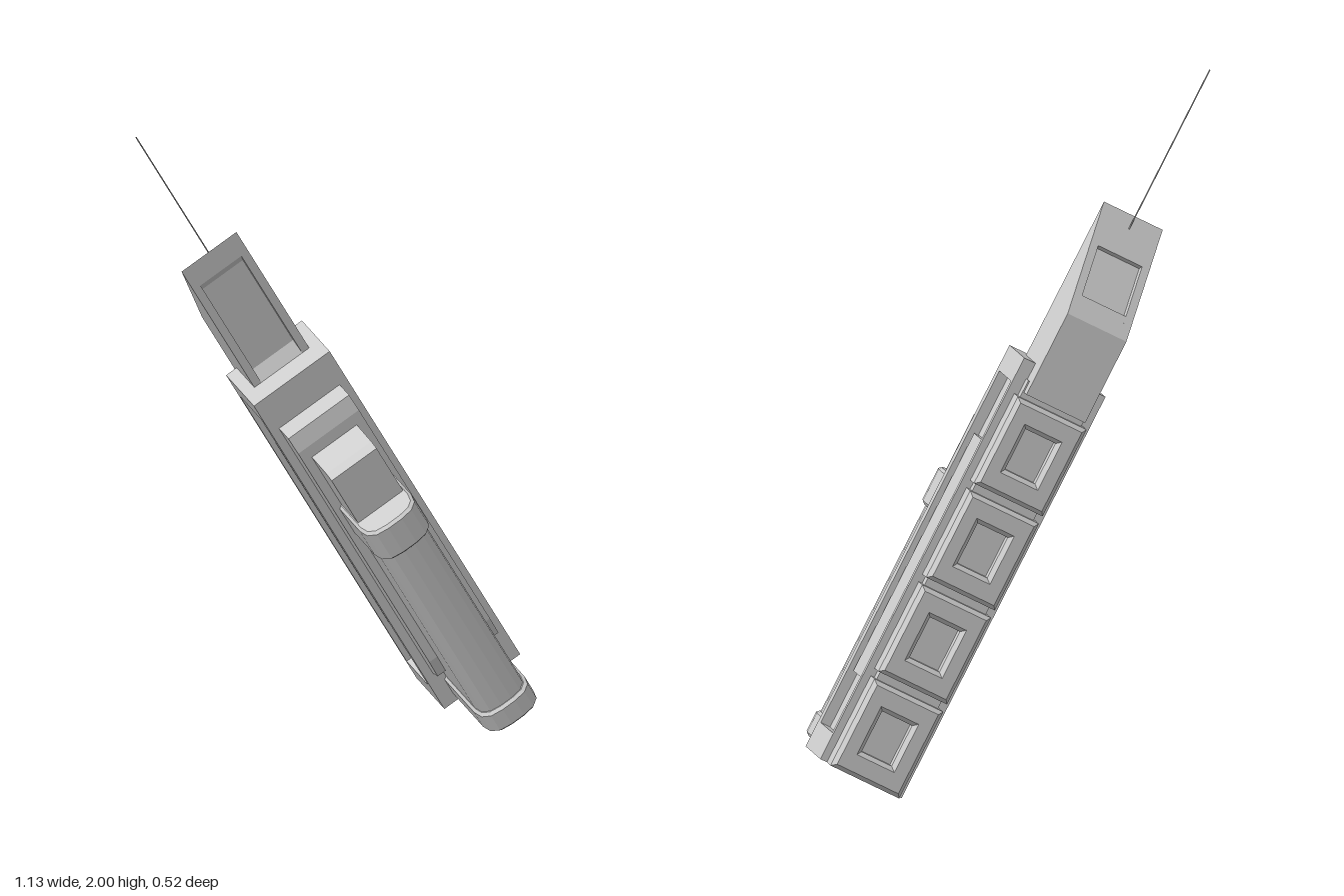
import * as THREE from 'three';

const mat = new THREE.MeshStandardMaterial({ color: 0xcccccc, flatShading: true });

function poly(points, hole) {
  const shape = new THREE.Shape(points.map(p => new THREE.Vector2(...p)));
  if (hole) shape.holes.push(new THREE.Path(hole.map(p => new THREE.Vector2(...p))));
  return shape;
}
const rect = (x0, y0, x1, y1) => [[x0, y0], [x1, y0], [x1, y1], [x0, y1]];

export function createModel() {
  // Body axis runs along local y; the whole handset leans to its right
  const device = new THREE.Group();
  device.name = 'handset';
  const add = (name, geo) => {
    const mesh = new THREE.Mesh(geo, mat);
    mesh.name = name;
    device.add(mesh);
    return mesh;
  };
  const box = (name, x0, x1, y0, y1, z0, z1) => add(name,
    new THREE.BoxGeometry(x1 - x0, y1 - y0, z1 - z0)
      .translate((x0 + x1) / 2, (y0 + y1) / 2, (z0 + z1) / 2));
  // Side profile drawn as (z, y), extruded across x from x0 to x1
  const profile = (name, shape, x0, x1) => add(name,
    new THREE.ExtrudeGeometry(shape, { depth: x1 - x0, bevelEnabled: false })
      .rotateY(-Math.PI / 2).translate(x1, 0, 0));
  // Rounded-front cross-section, extruded from y0 to y1
  const rounded = (name, w, z0, z1, r, y0, y1, bevel = 0) => {
    const s = new THREE.Shape();
    s.moveTo(-w, z0);
    s.lineTo(w, z0);
    s.lineTo(w, z1 - r);
    s.quadraticCurveTo(w, z1, w - r, z1);
    s.lineTo(-w + r, z1);
    s.quadraticCurveTo(-w, z1, -w, z1 - r);
    s.closePath();
    add(name, new THREE.ExtrudeGeometry(s, {
      depth: y1 - y0 - 2 * bevel, curveSegments: 3, bevelEnabled: bevel > 0,
      bevelSize: bevel, bevelOffset: -bevel, bevelThickness: bevel, bevelSegments: 1,
    }).rotateX(Math.PI / 2).translate(0, y1 - bevel, 0));
  };

  // Main case with recessed side walls and raised side panels
  box('caseCore', -0.1, 0.1, 0, 1.25, -0.2, -0.013);
  for (const s of [-1, 1]) {
    const frame = poly(rect(-0.2, 0, -0.013, 1.25), rect(-0.185, 0.08, -0.04, 1.175));
    profile('sideFrame', frame, s > 0 ? 0.1 : -0.13, s > 0 ? 0.13 : -0.1);
    box('sidePanel', s > 0 ? 0.095 : -0.118, s > 0 ? 0.118 : -0.095, 0.25, 0.99, -0.16, -0.055);
  }

  // Stepped front housing
  const lower = [[-0.02, 0.12], [0.05, 0.155], [0.06, 0.22], [0.06, 1.08], [0.05, 1.135], [-0.02, 1.135]];
  profile('frontHousing', poly(lower), -0.104, 0.104);
  const upper = [[0.03, 0.6], [0.17, 0.6], [0.17, 1.02], [0.15, 1.035], [0.03, 1.045]];
  profile('frontStep', poly(upper), -0.077, 0.077);

  // Rounded battery with thicker end caps
  rounded('battery', 0.077, -0.02, 0.24, 0.06, 0.03, 0.8);
  rounded('batteryTopCap', 0.088, -0.02, 0.26, 0.065, 0.733, 0.846, 0.008);
  rounded('batteryBottomCap', 0.086, -0.02, 0.25, 0.065, 0.015, 0.09, 0.008);

  // Four bevelled, hollowed blocks down the back
  box('backPlate', -0.098, 0.098, 0.01, 1.2, -0.228, -0.19);
  for (let i = 0; i < 4; i++) {
    const y = 0.135 + i * 0.293;
    const ring = poly(rect(-0.098, -0.123, 0.098, 0.123), rect(-0.06, -0.075, 0.06, 0.075));
    add('backBlock', new THREE.ExtrudeGeometry(ring, {
      depth: 0.046, bevelSize: 0.012, bevelThickness: 0.012, bevelSegments: 1,
    }).translate(0, y, -0.249));
  }

  // Upper arm: slanted top, with a screen recess in front and one in the slope
  const cheek = [[-0.26, 1.165], [-0.08, 1.165], [-0.08, 1.728], [-0.26, 1.418]];
  const middle = [
    [-0.26, 1.165], [-0.08, 1.165], [-0.08, 1.25], [-0.1, 1.29], [-0.1, 1.62], [-0.08, 1.65],
    [-0.08, 1.728], [-0.145, 1.616], [-0.128, 1.606], [-0.208, 1.468], [-0.225, 1.478], [-0.26, 1.418],
  ];
  profile('armCheek', poly(cheek), -0.094, -0.07);
  profile('armCheek', poly(cheek), 0.07, 0.094);
  profile('armCore', poly(middle), -0.07, 0.07);

  // Thin antenna
  add('antenna', new THREE.CylinderGeometry(0.002, 0.002, 0.51, 6).translate(0, 1.932, -0.1));

  device.position.set(0.445, 0.062, 0);
  device.rotation.z = THREE.MathUtils.degToRad(27.6);
  const model = new THREE.Group();
  model.name = 'radioHandset';
  model.add(device);
  return model;
}
